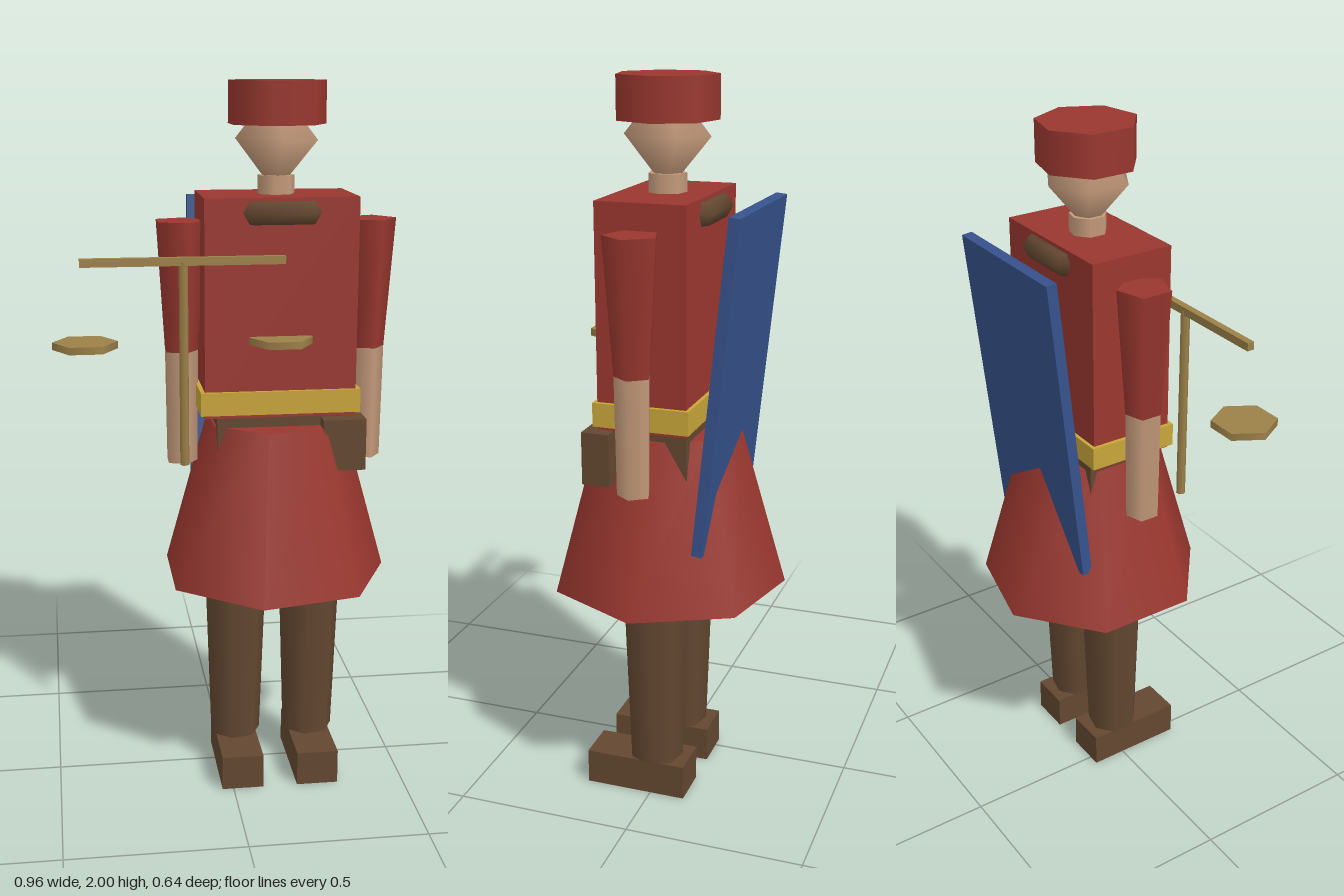
import * as THREE from 'three';

const CX = 0.1375; // body axis; the balance held to the side shifts the body off centre

const material = (name, color) => {
  const m = new THREE.MeshStandardMaterial({ color });
  m.name = name;
  return m;
};

export function createModel() {
  const group = new THREE.Group();
  const red = material('red cloth', 0x9a372f);
  const brown = material('brown leather', 0x634730);
  const skin = material('skin', 0xc49a7a);
  const gold = material('gold belt', 0xc8a53a);
  const brass = material('brass', 0x9c8048);
  const blue = material('blue shield', 0x36528c);

  const add = (name, geometry, mat, x, y, z) => {
    const mesh = new THREE.Mesh(geometry, mat);
    mesh.name = name;
    mesh.position.set(x, y, z);
    group.add(mesh);
    return mesh;
  };
  const box = (name, mat, w, h, d, x, y, z) =>
    add(name, new THREE.BoxGeometry(w, h, d), mat, x, y, z);
  // Low-sided tapered post between two heights, with one corner pointing to +x
  const post = (name, mat, sides, rTop, rBottom, y0, y1, x, z = 0) =>
    add(name, new THREE.CylinderGeometry(rTop, rBottom, y1 - y0, sides, 1, false, Math.PI / 2),
      mat, x, (y0 + y1) / 2, z);

  // Legs, feet and arms
  for (const [side, s] of [['right', -1], ['left', 1]]) {
    const legX = CX + s * 0.11;
    const armX = CX + s * 0.265;
    box(side + 'Foot', brown, 0.12, 0.1, 0.29, legX, 0.05, 0.045);
    post(side + 'Leg', brown, 7, 0.094, 0.075, 0.1, 0.66, legX);
    post(side + 'Sleeve', red, 5, 0.075, 0.05, 1.27, 1.63, armX);
    post(side + 'Forearm', skin, 5, 0.05, 0.046, 0.95, 1.27, armX);
  }

  // Skirt, hips, torso and belt
  post('skirt', red, 7, 0.2, 0.33, 0.61, 1.07, CX);
  box('hips', brown, 0.35, 0.16, 0.225, CX, 1.04, 0);
  box('torso', red, 0.42, 0.6, 0.245, CX, 1.4, 0);
  box('belt', gold, 0.444, 0.065, 0.265, CX, 1.1425, 0);
  box('pouch', brown, 0.12, 0.145, 0.077, 0.3125, 1.0225, 0.122);

  // Leather collar ring showing through the front and back of the torso
  const ring = new THREE.TorusGeometry(0.142, 0.035, 6, 6);
  ring.rotateX(Math.PI / 2);
  add('collar', ring, brown, CX, 1.66, 0);

  // Neck, head and cap
  post('neck', skin, 7, 0.052, 0.052, 1.69, 1.75, CX);
  const head = new THREE.SphereGeometry(0.12, 6, 2);
  head.rotateY(Math.PI / 2);
  head.scale(1, 1.2, 1);
  add('head', head, skin, CX, 1.845, 0);
  post('cap', red, 7, 0.1375, 0.1375, 1.885, 2, CX);

  // Shield leaning on the back
  box('shield', blue, 0.44, 0.905, 0.03, CX, 1.227, -0.202).rotation.x = -0.105;

  // Balance held in the right hand
  const balanceX = -0.13, balanceZ = 0.1315;
  post('balanceStaff', brass, 6, 0.0125, 0.0125, 0.975, 1.535, balanceX, balanceZ);
  box('balanceBeam', brass, 0.55, 0.022, 0.02, balanceX, 1.537, balanceZ);
  for (const s of [-1, 1]) {
    post('balancePan', brass, 6, 0.0875, 0.0875, 1.307, 1.327, balanceX + s * 0.265, balanceZ);
  }
  return group;
}
